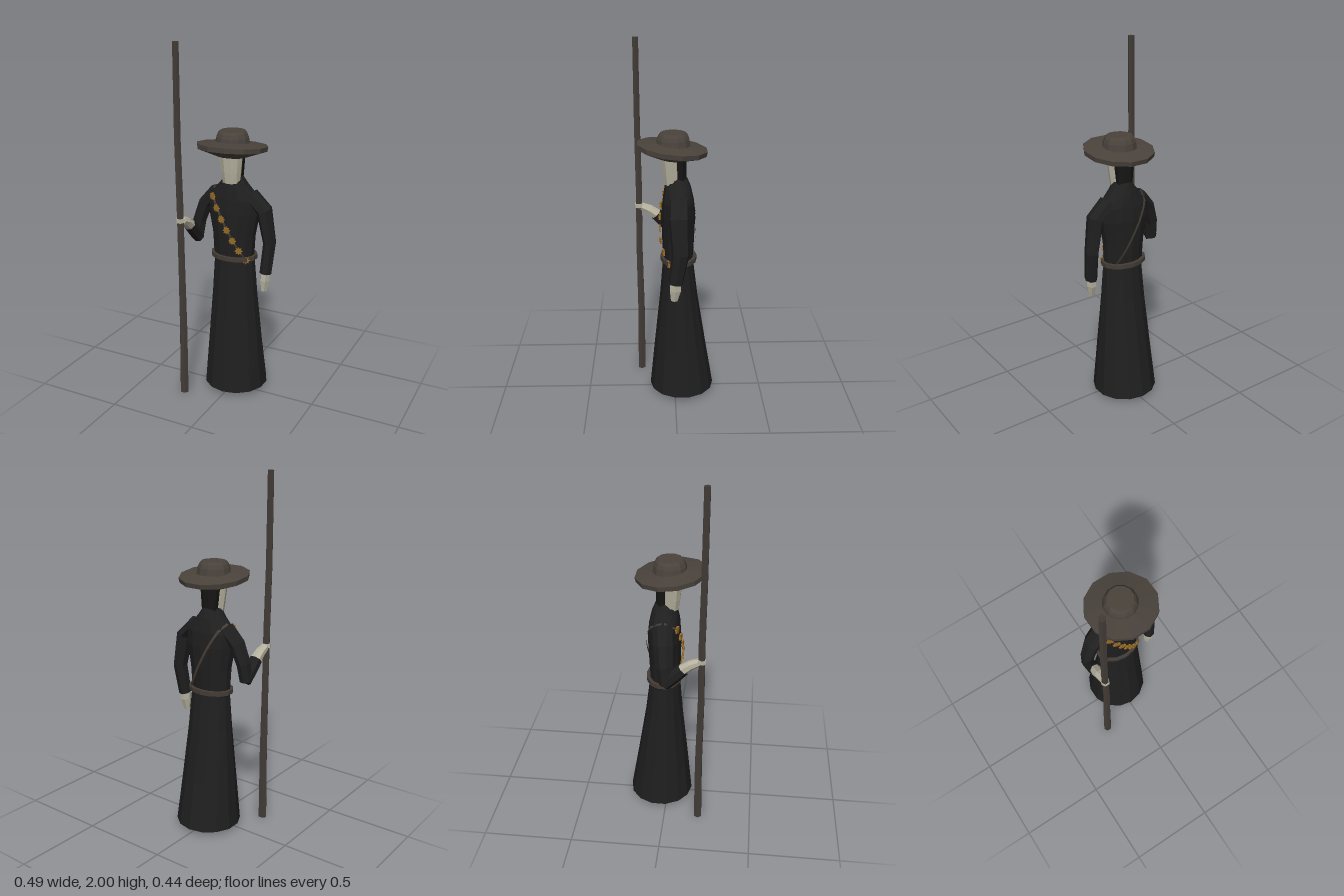
import * as THREE from 'three';

const mat = (name, color, side = THREE.FrontSide) => {
  const m = new THREE.MeshStandardMaterial({ color, flatShading: true, side });
  m.name = name;
  return m;
};

// Closed skin over equal-sized rings of points, with end caps
function skin(rings) {
  const n = rings[0].length, pos = [], idx = [];
  rings.forEach(r => r.forEach(p => pos.push(p.x, p.y, p.z)));
  for (let i = 0; i < rings.length - 1; i++) {
    for (let j = 0; j < n; j++) {
      const k = (j + 1) % n, a = i * n, b = a + n;
      idx.push(a + j, a + k, b + k, a + j, b + k, b + j);
    }
  }
  const top = (rings.length - 1) * n;
  for (let j = 1; j < n - 1; j++) {
    idx.push(0, j + 1, j);
    idx.push(top, top + j, top + j + 1);
  }
  const g = new THREE.BufferGeometry();
  g.setAttribute('position', new THREE.Float32BufferAttribute(pos, 3));
  g.setIndex(idx);
  g.computeVertexNormals();
  return g;
}

// Upright body from rows of [y, half width, front z, back z]
function loft(rows, n, phase = 0, cx = 0) {
  return skin(rows.map(([y, rx, zf, zb]) => Array.from({ length: n }, (_, j) => {
    const a = (j + phase) / n * Math.PI * 2;
    return new THREE.Vector3(cx + rx * Math.sin(a), y, (zf + zb) / 2 + (zf - zb) / 2 * Math.cos(a));
  })));
}

// Limb along stations of [x, y, z, half width, half depth]
function limb(st, n) {
  const P = st.map(s => new THREE.Vector3(s[0], s[1], s[2]));
  return skin(st.map((s, i) => {
    const T = P[Math.min(i + 1, P.length - 1)].clone().sub(P[Math.max(i - 1, 0)]).normalize();
    const U = new THREE.Vector3(1, 0, 0).addScaledVector(T, -T.x).normalize();
    const V = T.clone().cross(U);
    return Array.from({ length: n }, (_, j) => {
      const a = j / n * Math.PI * 2;
      return P[i].clone().addScaledVector(U, s[3] * Math.cos(a)).addScaledVector(V, s[4] * Math.sin(a));
    });
  }));
}

const TORSO = [
  [0.79, 0.116, 0.062, -0.1], [0.95, 0.125, 0.07, -0.108], [1.08, 0.15, 0.072, -0.113],
  [1.16, 0.155, 0.066, -0.105], [1.236, 0.08, 0.055, -0.088], [1.285, 0.045, 0.045, -0.068]
];

// Depth of the torso surface at x, y; side is 1 for front and -1 for back
function torsoZ(x, y, side) {
  let i = 0;
  while (i < TORSO.length - 2 && TORSO[i + 1][0] < y) i++;
  const a = TORSO[i], b = TORSO[i + 1];
  const t = THREE.MathUtils.clamp((y - a[0]) / (b[0] - a[0]), 0, 1);
  const [, rx, zf, zb] = a.map((v, k) => v + (b[k] - v) * t);
  return (zf + zb) / 2 + side * (zf - zb) / 2 * Math.sqrt(Math.max(0, 1 - (x / rx) ** 2));
}

export function createModel() {
  const model = new THREE.Group();
  const robe = mat('black robe', 0x1f1f1f);
  const hair = mat('dark hair', 0x171615);
  const flesh = mat('pale skin', 0xb8b3a0);
  const felt = mat('brown felt', 0x4a433c);
  const wood = mat('dark wood', 0x423c36);
  const leather = mat('brown leather', 0x443c35, THREE.DoubleSide);
  const gold = mat('old gold', 0x966b25);

  const add = (name, geo, material, parent = model) => {
    const m = new THREE.Mesh(geo, material);
    m.name = name;
    parent.add(m);
    return m;
  };

  // Robe
  add('skirt', loft([
    [0.025, 0.183, 0.142, -0.222], [0.3, 0.158, 0.115, -0.176],
    [0.6, 0.132, 0.083, -0.128], [0.82, 0.117, 0.065, -0.101]
  ], 14, 0, 0.004), robe);
  add('torso', loft(TORSO, 14), robe);
  add('belt', loft([[0.812, 0.135, 0.08, -0.122], [0.836, 0.135, 0.08, -0.122]], 14), leather);

  // Head
  add('face', loft([[1.25, 0.05, 0.058, -0.03], [1.31, 0.058, 0.066, -0.03], [1.43, 0.072, 0.077, -0.03]], 10, 0.5), flesh);
  add('hair', loft([[1.25, 0.045, 0.0, -0.066], [1.43, 0.064, 0.01, -0.064]], 8, 0.5), hair);

  // Wide hat, brim tipped up at the front
  const hat = new THREE.Group();
  hat.name = 'hat';
  model.add(hat);
  const disc = (y, r) => [y, r, r, -r];
  const brim = add('brim', loft([
    disc(-0.055, 0.075), disc(-0.014, 0.19), disc(0.012, 0.193), disc(0.025, 0.09)
  ], 12, 0.5), felt, hat);
  brim.position.set(0.004, 1.447, 0.014);
  brim.rotation.x = -0.113;
  const crown = add('crown', loft([
    disc(0, 0.094), disc(0.035, 0.088), disc(0.056, 0.079), disc(0.069, 0.068)
  ], 12, 0.5), felt, hat);
  crown.position.set(0.004, 1.464, 0.008);

  // Left arm hanging
  add('leftSleeve', limb([
    [0.1, 1.185, -0.02, 0.04, 0.055], [0.183, 1.105, -0.018, 0.042, 0.056],
    [0.213, 0.92, -0.026, 0.034, 0.048], [0.203, 0.75, 0, 0.033, 0.04]
  ], 7), robe);
  add('leftHand', limb([
    [0.203, 0.77, 0, 0.026, 0.032], [0.2, 0.71, 0.002, 0.027, 0.034], [0.196, 0.648, 0.008, 0.017, 0.02]
  ], 6), flesh);

  // Right arm bent forward to the staff
  add('rightUpperSleeve', limb([
    [-0.1, 1.185, -0.02, 0.04, 0.055], [-0.168, 1.105, -0.01, 0.04, 0.052],
    [-0.205, 1.0, 0, 0.036, 0.045], [-0.214, 0.9, 0.01, 0.034, 0.036]
  ], 7), robe);
  add('rightForeSleeve', limb([
    [-0.214, 0.9, 0, 0.033, 0.036], [-0.215, 0.95, 0.05, 0.035, 0.038], [-0.215, 1.0, 0.1, 0.035, 0.037]
  ], 7), robe);
  add('rightHand', limb([
    [-0.215, 0.99, 0.085, 0.033, 0.032], [-0.215, 1.03, 0.14, 0.029, 0.028], [-0.214, 1.05, 0.185, 0.024, 0.022]
  ], 7), flesh);
  add('rightFingers', limb([
    [-0.216, 1.045, 0.198, 0.025, 0.025], [-0.216, 1.068, 0.2, 0.023, 0.024]
  ], 6), flesh);

  // Slightly crooked staff
  add('staff', limb([
    [-0.216, 0, 0.196, 0.026, 0.024], [-0.214, 0.4, 0.194, 0.024, 0.022],
    [-0.213, 0.8, 0.2, 0.021, 0.02], [-0.217, 1.15, 0.198, 0.021, 0.02],
    [-0.22, 1.5, 0.203, 0.02, 0.019], [-0.217, 2, 0.205, 0.019, 0.018]
  ], 6), wood);

  // Diagonal shoulder strap, a thin ribbon around the torso
  const strapY = x => 1.0 - 1.83 * x;
  for (const side of [1, -1]) {
    const pos = [], idx = [], n = 12;
    for (let i = 0; i <= n; i++) {
      const x = -0.115 + 0.23 * i / n, y = strapY(x);
      for (const e of [-0.007, 0.007]) {
        pos.push(x + e * 0.88, y + e * 0.48, torsoZ(x, y, side) + side * 0.007);
      }
      if (i < n) idx.push(2 * i, 2 * i + 2, 2 * i + 1, 2 * i + 1, 2 * i + 2, 2 * i + 3);
    }
    const g = new THREE.BufferGeometry();
    g.setAttribute('position', new THREE.Float32BufferAttribute(pos, 3));
    g.setIndex(idx);
    g.computeVertexNormals();
    add(side > 0 ? 'strapFront' : 'strapBack', g, leather);
  }

  // Toothed gold discs along the strap
  const tooth = new THREE.Shape();
  for (let i = 0; i < 16; i++) {
    const r = i % 2 ? 0.014 : 0.022, a = i / 16 * Math.PI * 2;
    tooth[i ? 'lineTo' : 'moveTo'](r * Math.cos(a), r * Math.sin(a));
  }
  tooth.closePath();
  const discGeo = new THREE.ExtrudeGeometry(tooth, { depth: 0.009, bevelEnabled: false });
  for (let i = 0; i < 7; i++) {
    const x = -0.092 + 0.19 * i / 6, y = strapY(x);
    const d = add('strapDisc', discGeo, gold);
    d.position.set(x, y, torsoZ(x, y, 1) + 0.007);
    d.rotation.y = x * 4;
  }
  return model;
}
